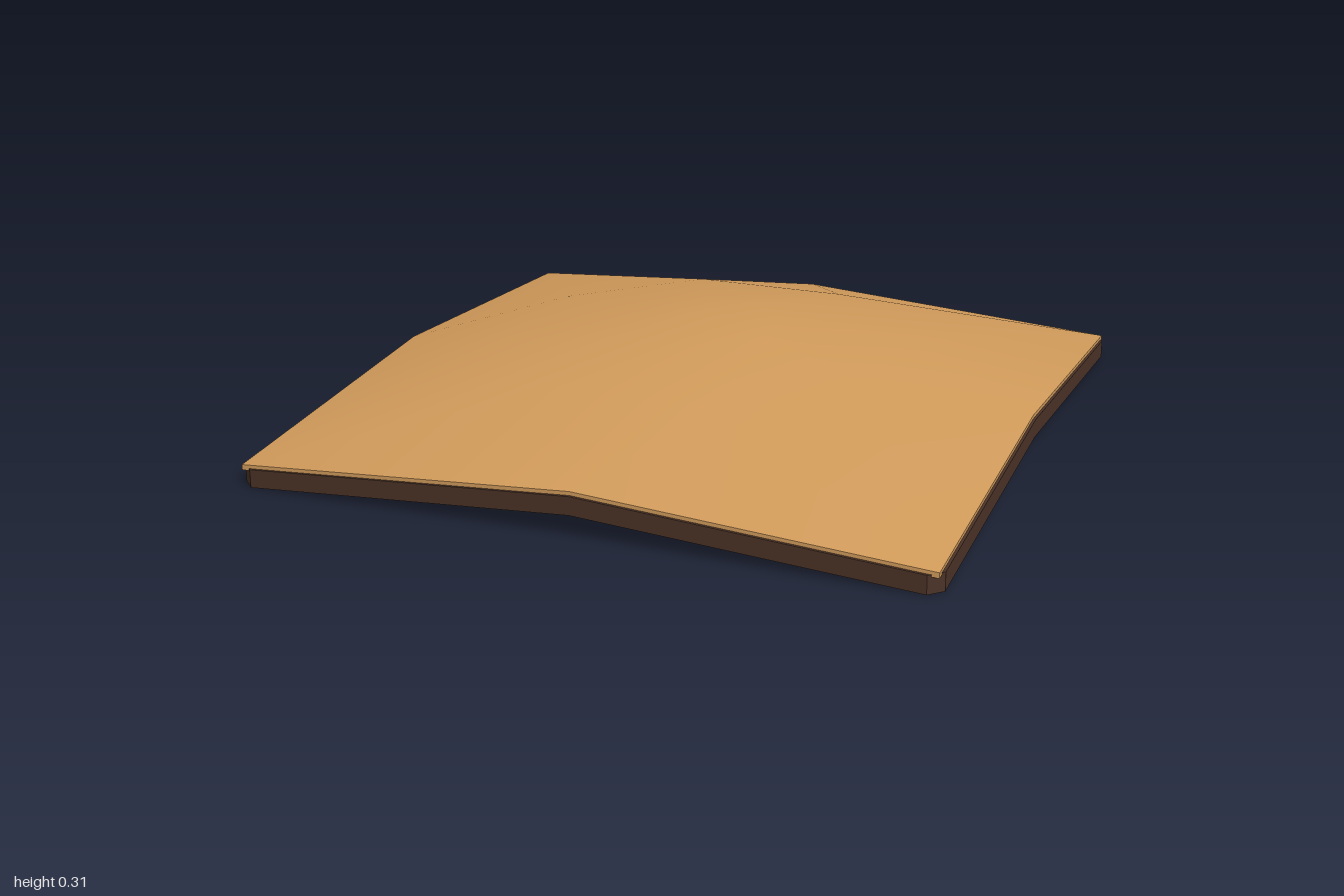
import * as THREE from 'three';
import { toCreasedNormals } from 'three/addons/utils/BufferGeometryUtils.js';

const THICK = 0.016, DEPTH = 0.055, HALF = 0.992;
const polar = (r, a) => [r * Math.cos(a), r * Math.sin(a)];
const STEP = Math.PI / 4;

// Control points of the vault: crown, two octagonal rings, square rim
const pts = [[0, 0.315, 0]];
const add = ([x, z], y) => pts.push([x, y, z]);
for (let k = 0; k < 8; k++) add(polar(0.22, (k + 0.5) * STEP), 0.305);
for (let k = 0; k < 8; k++) add(polar(0.605, (k + 0.5) * STEP), 0.25);
for (let k = 0; k < 8; k++) {
  const corner = k % 2 === 1;
  add(polar(corner ? HALF * Math.SQRT2 : HALF, k * STEP), corner ? 0.069 : 0.136);
}
const inner = k => 1 + (k + 8) % 8, node = k => 9 + (k + 8) % 8, rim = k => 17 + (k + 8) % 8;

const tris = [];
for (let k = 0; k < 8; k++) {
  tris.push([0, inner(k + 1), inner(k)]);
  tris.push([inner(k), inner(k + 1), node(k + 1)], [inner(k), node(k + 1), node(k)]);
  tris.push([rim(k), node(k - 1), node(k)]);
  tris.push([node(k), rim(k + 1), rim(k)]);
}

// Height of the vault's upper face at any plan position
function height(x, z) {
  x = THREE.MathUtils.clamp(x, -HALF, HALF);
  z = THREE.MathUtils.clamp(z, -HALF, HALF);
  for (const t of tris) {
    const [a, b, c] = t.map(i => pts[i]);
    const d = (b[2] - c[2]) * (a[0] - c[0]) + (c[0] - b[0]) * (a[2] - c[2]);
    const u = ((b[2] - c[2]) * (x - c[0]) + (c[0] - b[0]) * (z - c[2])) / d;
    const v = ((c[2] - a[2]) * (x - c[0]) + (a[0] - c[0]) * (z - c[2])) / d;
    if (u > -1e-6 && v > -1e-6 && u + v < 1 + 1e-6) return u * a[1] + v * b[1] + (1 - u - v) * c[1];
  }
  return 0.069;
}

function makeGeometry(positions, index) {
  const g = new THREE.BufferGeometry();
  g.setAttribute('position', new THREE.Float32BufferAttribute(positions, 3));
  g.setIndex(index);
  return toCreasedNormals(g, 0.6);
}

// Thin slab: upper face, lower face and rim wall
function shellGeometry() {
  const n = pts.length, index = [];
  const pos = [...pts.flat(), ...pts.flatMap(([x, y, z]) => [x, y - THICK, z])];
  for (const [a, b, c] of tris) index.push(a, b, c, a + n, c + n, b + n);
  for (let k = 0; k < 8; k++) {
    const a = rim(k), b = rim(k + 1);
    index.push(a, b, b + n, a, b + n, a + n);
  }
  return makeGeometry(pos, index);
}

// Rectangular beam swept along a plan path, hugging the underside of the shell
function ribGeometry(path, width, closed = false, depth = DEPTH) {
  const n = path.length, pos = [], index = [];
  const dir = (p, q) => new THREE.Vector2(q[0] - p[0], q[1] - p[1]).normalize();
  path.forEach((p, i) => {
    const prev = i > 0 || closed ? path[(i + n - 1) % n] : null;
    const next = i < n - 1 || closed ? path[(i + 1) % n] : null;
    const d0 = prev ? dir(prev, p) : dir(p, next);
    const d1 = next ? dir(p, next) : d0;
    const d = d0.clone().add(d1).normalize();
    const w = width / 2 / d.dot(d1);
    const y = height(p[0], p[1]) - THICK + 0.002;
    const l = [p[0] + d.y * w, p[1] - d.x * w], r = [p[0] - d.y * w, p[1] + d.x * w];
    pos.push(l[0], y, l[1], r[0], y, r[1], r[0], y - depth, r[1], l[0], y - depth, l[1]);
  });
  for (let i = 0; i < (closed ? n : n - 1); i++) {
    const s = i * 4, e = ((i + 1) % n) * 4;
    for (let k = 0; k < 4; k++) {
      const m = (k + 1) % 4;
      index.push(s + k, s + m, e + m, s + k, e + m, e + k);
    }
  }
  if (!closed) {
    const e = (n - 1) * 4;
    index.push(0, 3, 2, 0, 2, 1, e, e + 1, e + 2, e, e + 2, e + 3);
  }
  return makeGeometry(pos, index);
}

export function createModel() {
  const model = new THREE.Group();
  model.name = 'vaultedCanopy';
  const panelMat = new THREE.MeshStandardMaterial({ color: 0xd09a5a });
  const ribMat = new THREE.MeshStandardMaterial({ color: 0x4a3226 });
  const put = (name, geometry, material = ribMat) => {
    const mesh = new THREE.Mesh(geometry, material);
    mesh.name = name;
    model.add(mesh);
    return mesh;
  };
  const plan = i => [pts[i][0], pts[i][2]];
  const line = (a, b, n = 8) =>
    Array.from({ length: n + 1 }, (_, i) => [a[0] + (b[0] - a[0]) * i / n, a[1] + (b[1] - a[1]) * i / n]);

  put('roofPanel', shellGeometry(), panelMat);

  // Perimeter beam with chamfered corners
  const rimPath = [];
  for (let q = 0; q < 4; q++) {
    const c = Math.round(Math.cos(q * Math.PI / 2)), s = Math.round(Math.sin(q * Math.PI / 2));
    for (const t of [-0.955, 0, 0.955]) rimPath.push([0.981 * c - t * s, 0.981 * s + t * c]);
  }
  put('edgeBeam', ribGeometry(rimPath, 0.038, true, 0.053));

  const TANGENT = 0.45, petalR = TANGENT * Math.tan(STEP / 2), petalC = TANGENT / Math.cos(STEP / 2);
  for (let k = 0; k < 8; k++) {
    // Spoke from the crown to each junction
    put('spokeRib', ribGeometry([[0, 0], plan(inner(k)), plan(node(k))], 0.036));
    // Star ribs from each junction to the rim's corner and midpoint
    for (const j of [k, k + 1]) {
      const end = plan(rim(j)).map(v => v * 0.975);
      put('starRib', ribGeometry(line(plan(node(k)), end), 0.034));
    }
    // Rounded petal end, tangent to the two neighbouring spokes
    const [cx, cz] = polar(petalC, k * STEP);
    const arc = [];
    for (let i = 0; i <= 24; i++) {
      const [x, z] = polar(petalR - 0.004, k * STEP + (i / 12 - 1) * STEP * 2.5);
      arc.push([cx + x, cz + z]);
    }
    put('petalRib', ribGeometry(arc, 0.036));
  }

  // Small hubs where the ribs meet
  for (let k = -1; k < 8; k++) {
    const [x, z] = k < 0 ? [0, 0] : plan(node(k));
    const hub = put(k < 0 ? 'crownHub' : 'junctionHub', new THREE.CylinderGeometry(0.034, 0.034, 0.06, 12));
    hub.position.set(x, height(x, z) - THICK - 0.029, z);
  }
  return model;
}
